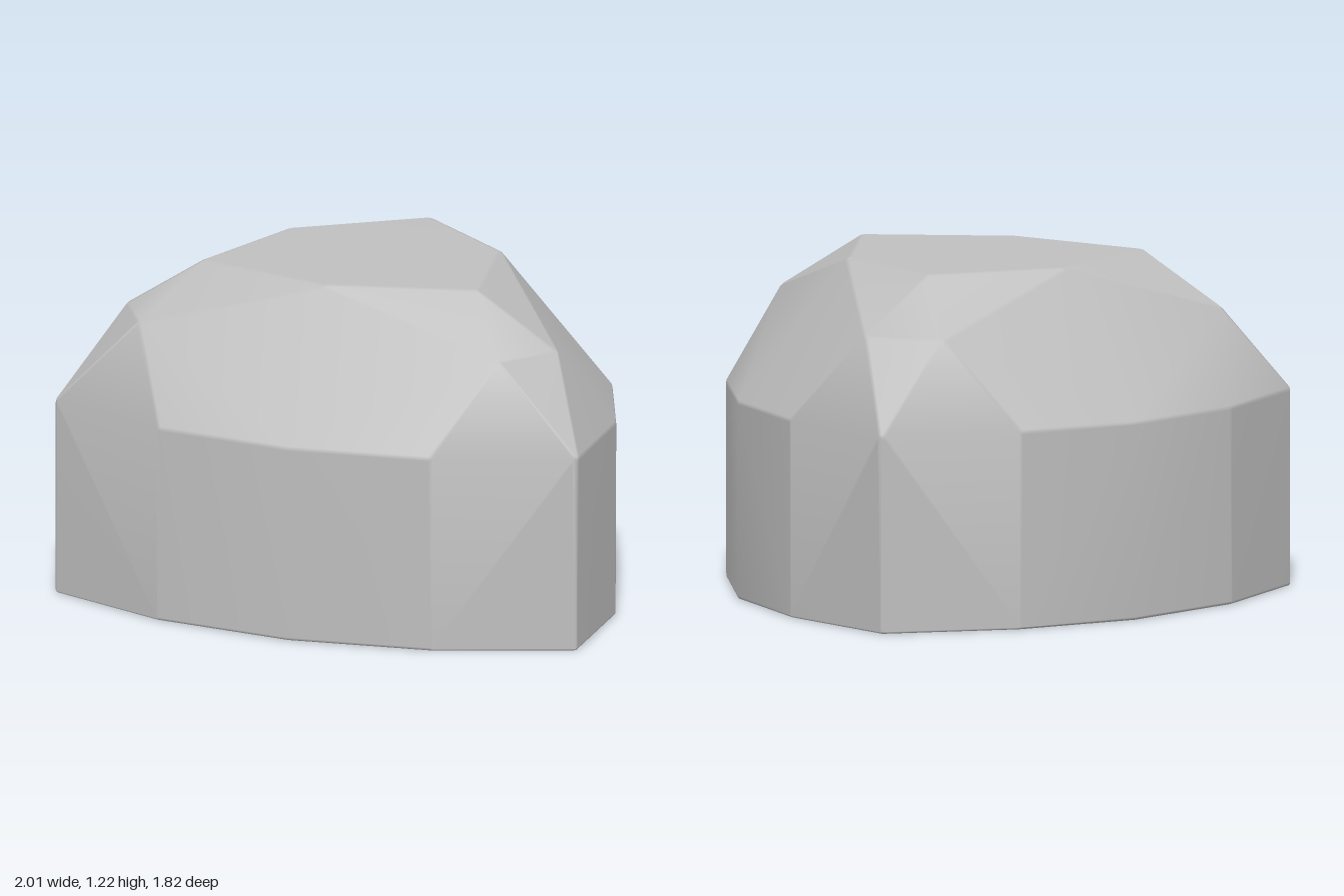
import * as THREE from 'three';
import { mergeVertices } from 'three/addons/utils/BufferGeometryUtils.js';
import { ConvexGeometry } from 'three/addons/geometries/ConvexGeometry.js';

// Half outlines as [x, z]; each is mirrored across x = 0
const wall = [[0, 0.91], [0.53, 0.84], [1, 0.64], [0.95, 0.16], [0.75, -0.3], [0.43, -0.65], [0, -0.91]];
const shoulder = [[0.7, 0.62], [0.83, 0.41], [0.14, -0.67]];
const crown = [[0, 0.57], [0.54, 0.42], [0.42, -0.1], [0, -0.43]];

// Height of each level's ball centres and its edge rounding radius
const levels = [
  { outline: wall, y: 0.012, r: 0.012 },
  { outline: wall, y: 0.7, r: 0.03 },
  { outline: shoulder, y: 1.005, r: 0.03 },
  { outline: crown, y: 1.19, r: 0.03 },
];

function mirrored(outline) {
  return outline.flatMap(([x, z]) => (x === 0 ? [[x, z]] : [[x, z], [-x, z]]));
}

// Convex hull of small balls at the corners gives flat facets with soft edges
function roundedHull() {
  const ball = mergeVertices(new THREE.IcosahedronGeometry(1, 1).deleteAttribute('uv').deleteAttribute('normal'));
  const p = ball.attributes.position;
  const points = [];
  for (const { outline, y, r } of levels) {
    for (const [x, z] of mirrored(outline)) {
      const inset = 1 - r / Math.hypot(x, z);
      for (let i = 0; i < p.count; i++) {
        points.push(new THREE.Vector3(x * inset, y, z * inset)
          .addScaledVector(new THREE.Vector3().fromBufferAttribute(p, i), r));
      }
    }
  }
  // Area-weighted normals keep the large facets flat and blend the edges
  const geometry = mergeVertices(new ConvexGeometry(points).deleteAttribute('normal'));
  geometry.computeVertexNormals();
  return geometry;
}

export function createModel() {
  const group = new THREE.Group();
  group.name = 'facetedBlock';
  const grey = new THREE.MeshStandardMaterial({ color: 0xbfbfbf });
  grey.name = 'grey';
  const body = new THREE.Mesh(roundedHull(), grey);
  body.name = 'body';
  group.add(body);
  return group;
}
